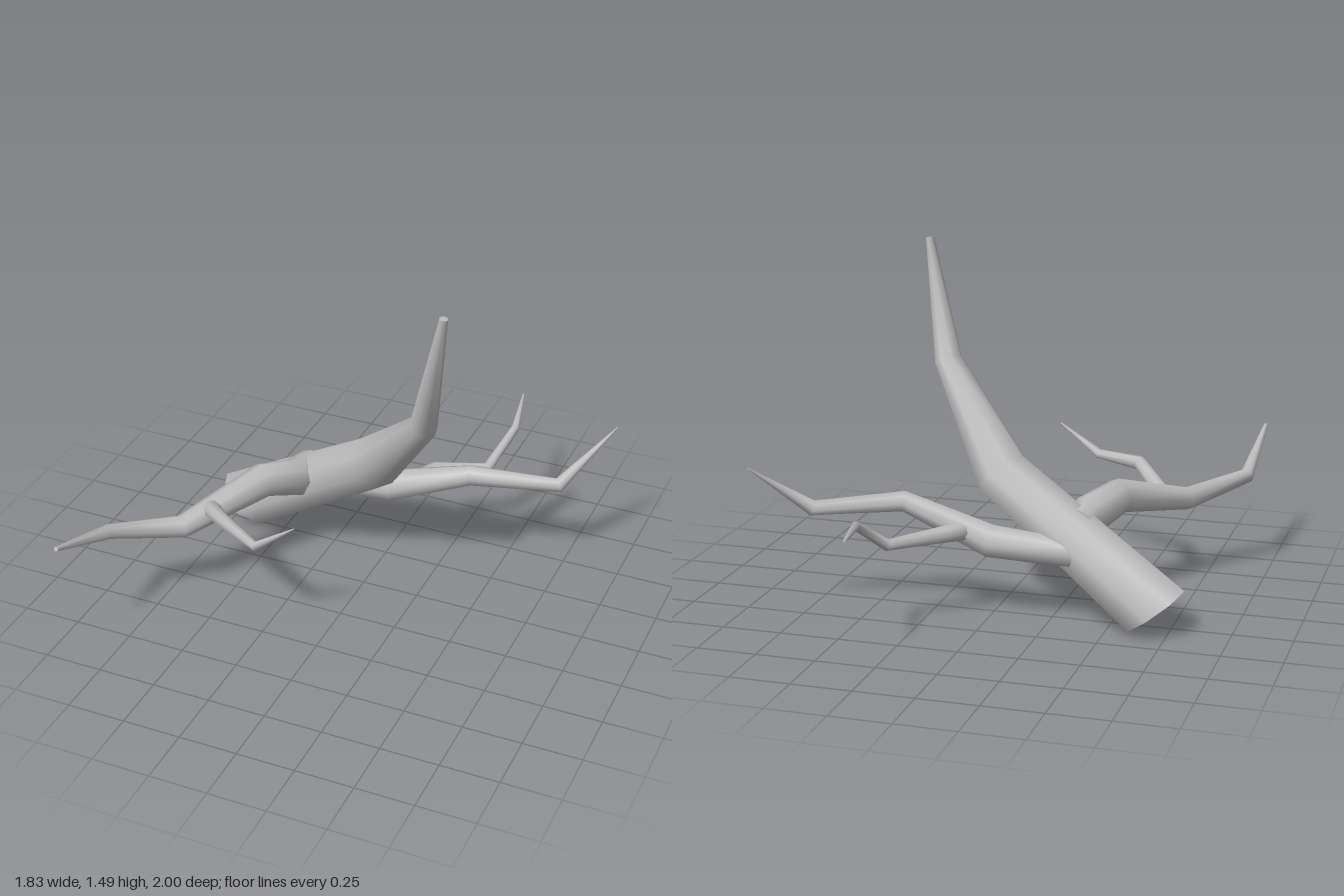
import * as THREE from 'three';

const SIDES = 8;

// Tapered limb: rings of SIDES points around a bent path of [x, y, z, radius]
function limb(name, path, material, startNormal) {
  const pts = path.map(p => new THREE.Vector3(p[0], p[1], p[2]));
  const dirs = pts.slice(1).map((p, i) => p.clone().sub(pts[i]).normalize());
  const last = pts.length - 1;
  const pos = [], idx = [];
  const u = new THREE.Vector3(0, 0, 1);
  if (Math.abs(dirs[0].z) > 0.8) u.set(0, 1, 0);

  pts.forEach((p, i) => {
    // each ring sits on the mitre plane of its bend
    const n = dirs[Math.max(i - 1, 0)].clone().add(dirs[Math.min(i, last - 1)]).normalize();
    if (i === 0 && startNormal) n.copy(startNormal).normalize();
    u.addScaledVector(n, -u.dot(n)).normalize();
    const v = n.clone().cross(u);
    for (let j = 0; j < SIDES; j++) {
      const a = (j / SIDES) * Math.PI * 2;
      const q = p.clone()
        .addScaledVector(u, Math.cos(a) * path[i][3])
        .addScaledVector(v, Math.sin(a) * path[i][3]);
      pos.push(q.x, q.y, q.z);
    }
  });
  for (let i = 0; i < last; i++) {
    for (let j = 0; j < SIDES; j++) {
      const a = i * SIDES + j, b = i * SIDES + (j + 1) % SIDES;
      idx.push(a, b, a + SIDES, b, b + SIDES, a + SIDES);
    }
  }
  // flat end caps on their own vertices, so the cut edges stay sharp
  for (const ring of [0, last]) {
    const base = pos.length / 3;
    pos.push(...pos.slice(ring * SIDES * 3, (ring + 1) * SIDES * 3));
    for (let j = 1; j < SIDES - 1; j++) {
      if (ring === 0) idx.push(base, base + j + 1, base + j);
      else idx.push(base, base + j, base + j + 1);
    }
  }
  const geo = new THREE.BufferGeometry();
  geo.setAttribute('position', new THREE.Float32BufferAttribute(pos, 3));
  geo.setIndex(idx);
  geo.computeVertexNormals();
  const mesh = new THREE.Mesh(geo, material);
  mesh.name = name;
  return mesh;
}

export function createModel() {
  const group = new THREE.Group();
  group.name = 'deadBranch';
  const bark = new THREE.MeshStandardMaterial({ color: 0xbcbcbc });
  bark.name = 'palegrey';

  // leaning trunk with a slanted cut at its foot
  group.add(limb('trunk', [
    [-0.69, 0.088, -0.3, 0.152],
    [0.0, 0.55, -0.12, 0.12],
    [0.33, 0.96, 0.16, 0.06],
    [0.418, 1.48, 0.19, 0.018],
  ], bark, new THREE.Vector3(0.6, 0.8, 0)));

  // long branch reaching to the left and back
  group.add(limb('leftBranch', [
    [-0.35, 0.29, -0.29, 0.06],
    [0.0, 0.32, -0.31, 0.072],
    [0.37, 0.46, -0.315, 0.045],
    [0.73, 0.433, -0.43, 0.034],
    [0.912, 0.645, -0.65, 0.003],
  ], bark));
  group.add(limb('leftTwig', [
    [0.1, 0.36, -0.34, 0.038],
    [0.16, 0.37, -0.43, 0.036],
    [0.355, 0.348, -0.565, 0.025],
    [0.42, 0.475, -0.74, 0.019],
    [0.366, 0.496, -1.0, 0.006],
  ], bark));

  // branch reaching to the right and front
  group.add(limb('rightBranch', [
    [-0.35, 0.4, -0.23, 0.06],
    [-0.365, 0.4, -0.08, 0.085],
    [-0.45, 0.447, 0.06, 0.075],
    [-0.67, 0.357, 0.4, 0.05],
    [-0.89, 0.415, 0.63, 0.033],
    [-0.908, 0.555, 1.0, 0.01],
  ], bark));
  group.add(limb('rightTwig', [
    [-0.59, 0.4, 0.28, 0.04],
    [-0.45, 0.485, 0.45, 0.031],
    [-0.235, 0.48, 0.57, 0.021],
    [-0.06, 0.61, 0.565, 0.003],
  ], bark));

  return group;
}
